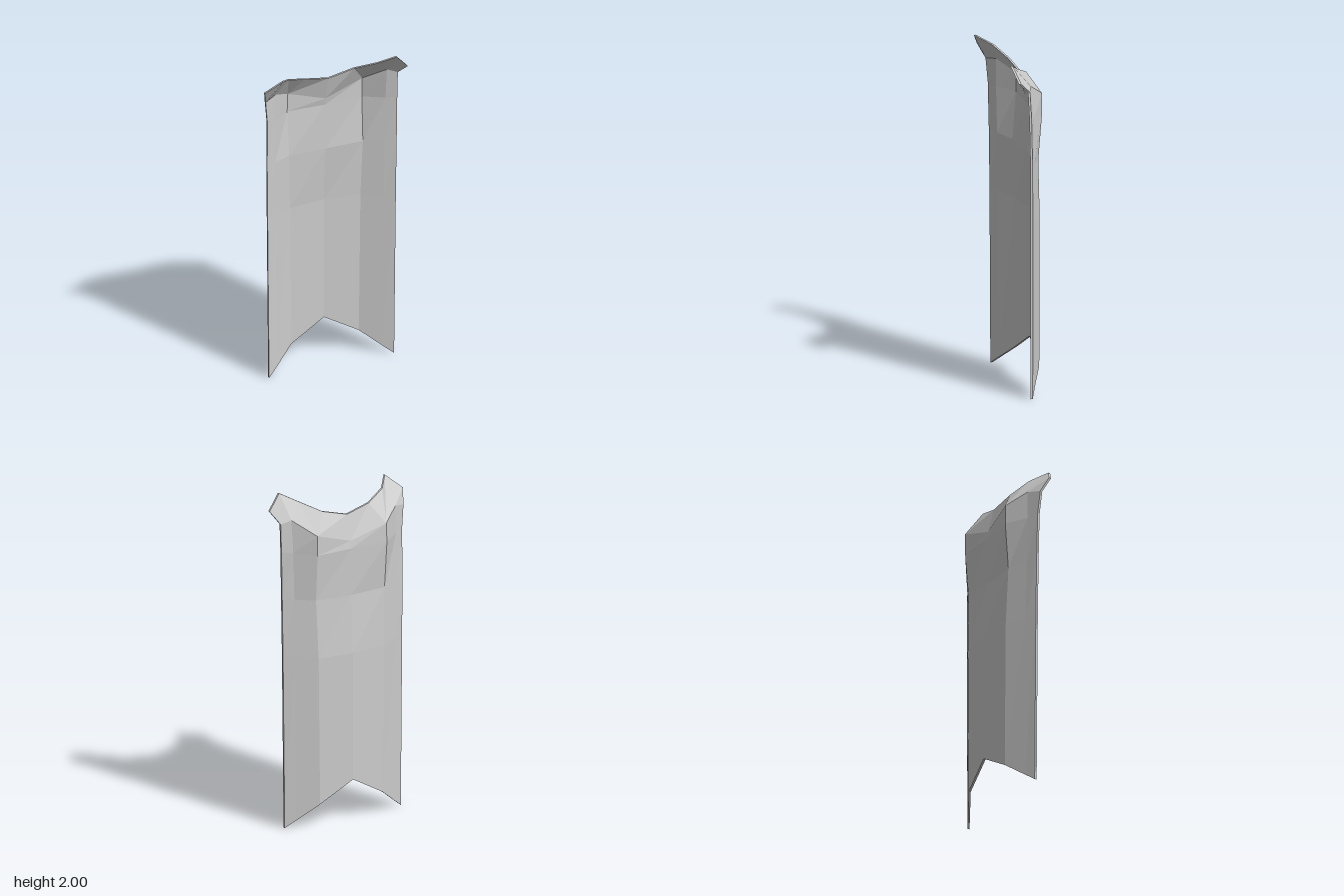
import * as THREE from 'three';

const THICKNESS = 0.013;

// Half cross-sections of the rear skin, from the centre line to the side edge: [x, y, z]
const bodyRows = [
  [[0, 0.26, -0.12], [0.21, 0.14, -0.1], [0.21, 0.14, -0.1], [0.33, 0.046, -0.035], [0.39, 0, -0.005]],
  [[0, 1.03, -0.12], [0.22, 1.03, -0.1], [0.22, 1.03, -0.1], [0.34, 1.04, -0.035], [0.4, 1.05, -0.003]],
  [[0, 1.375, -0.095], [0.23, 1.38, -0.088], [0.23, 1.38, -0.088], [0.34, 1.39, -0.03], [0.404, 1.4, 0]],
  [[0, 1.66, -0.1], [0.233, 1.66, -0.11], [0.233, 1.66, -0.11], [0.345, 1.67, -0.025], [0.405, 1.68, 0.006]],
];
// Fold under the flared collar, then the collar's rim; the two ears differ slightly
const topRight = [
  [[0, 1.705, -0.092], [0.235, 1.78, -0.11], [0.235, 1.78, -0.11], [0.345, 1.865, -0.005], [0.405, 1.845, 0.015]],
  [[0, 1.855, -0.053], [0.155, 1.895, -0.038], [0.265, 1.95, 0.05], [0.36, 2, 0.107], [0.44, 1.91, 0.08]],
];
const topLeft = [
  [[0, 1.705, -0.092], [0.23, 1.775, -0.108], [0.23, 1.775, -0.108], [0.34, 1.835, -0.025], [0.42, 1.82, 0.015]],
  [[0, 1.855, -0.053], [0.155, 1.89, -0.035], [0.28, 1.94, 0.02], [0.35, 1.985, 0.107], [0.443, 1.905, 0.06]],
];

// Joins a mirrored left half to a right half
function fullRow(left, right) {
  return [...left.slice(1).reverse().map(([x, y, z]) => [-x, y, z]), ...right];
}

// Closed sheet with flat facets through rows of points
function sheet(rows, closeBottom, closeTop) {
  const positions = [];
  const front = rows.map(row => row.map(p => new THREE.Vector3(p[0], p[1], p[2] + THICKNESS)));
  const back = rows.map(row => row.map(p => new THREE.Vector3(...p)));
  const triangle = (a, b, c) => {
    const area = b.clone().sub(a).cross(c.clone().sub(a)).length();
    if (area > 1e-7) for (const v of [a, b, c]) positions.push(v.x, v.y, v.z);
  };
  const quad = (a, b, c, d) => { triangle(a, b, c); triangle(a, c, d); };
  const last = rows.length - 1, end = rows[0].length - 1;
  for (let j = 0; j < last; j++) {
    for (let i = 0; i < end; i++) {
      quad(front[j][i], front[j][i + 1], front[j + 1][i + 1], front[j + 1][i]);
      quad(back[j][i + 1], back[j][i], back[j + 1][i], back[j + 1][i + 1]);
    }
    // side edges
    quad(back[j][0], front[j][0], front[j + 1][0], back[j + 1][0]);
    quad(front[j][end], back[j][end], back[j + 1][end], front[j + 1][end]);
  }
  for (let i = 0; i < end; i++) {
    if (closeBottom) quad(back[0][i], back[0][i + 1], front[0][i + 1], front[0][i]);
    if (closeTop) quad(front[last][i], front[last][i + 1], back[last][i + 1], back[last][i]);
  }
  const geometry = new THREE.BufferGeometry();
  geometry.setAttribute('position', new THREE.Float32BufferAttribute(positions, 3));
  geometry.computeVertexNormals();
  return geometry;
}

export function createModel() {
  const group = new THREE.Group();
  group.name = 'curvedPlate';
  const grey = new THREE.MeshStandardMaterial({ color: 0xcccccc, flatShading: true });
  grey.name = 'plain grey';

  const body = bodyRows.map(row => fullRow(row, row));
  const [fold, rim] = topRight.map((row, k) => fullRow(topLeft[k], row));

  const plate = new THREE.Mesh(sheet([...body, fold], true, false), grey);
  plate.name = 'bentPlate';
  const collar = new THREE.Mesh(sheet([fold, rim], false, true), grey);
  collar.name = 'flaredCollar';
  group.add(plate, collar);
  return group;
}
